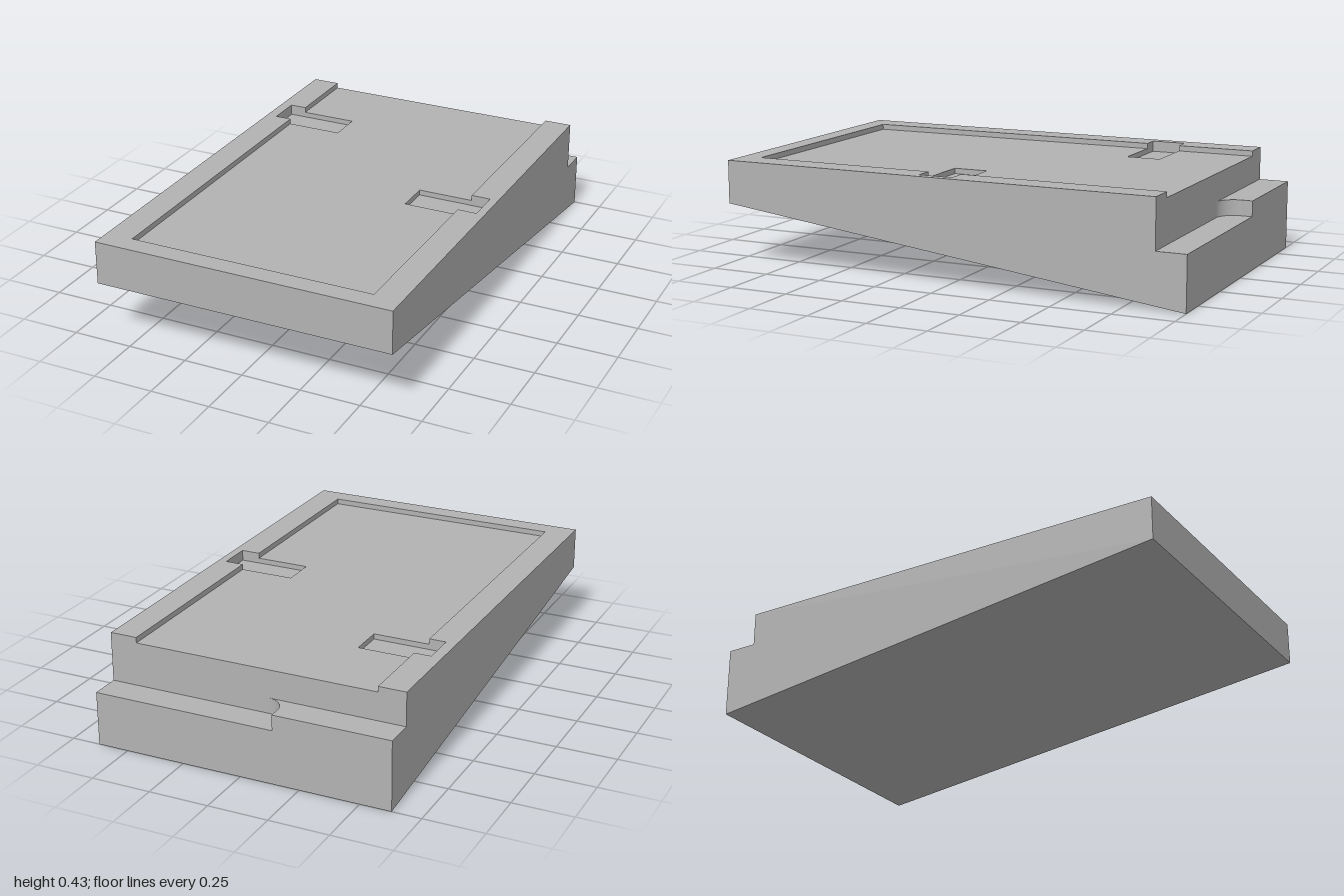
import * as THREE from 'three';
import { mergeVertices } from 'three/addons/utils/BufferGeometryUtils.js';

// Key sizes
const W = 0.63, R = 0.515;            // half widths of body and recess
const BACK = -0.875, FRONT = 0.915;   // recess ends in z; BACK is also the riser
const TOP = 0.43, FLOOR = 0.407, POCKET = 0.385;
const LOW = 0.225, HIGH = 0.29;       // two levels of the rear ledge
const FRONT_BOTTOM = 0.25;
const pockets = [
  { name: 'rightPocket', x0: -0.585, x1: -0.28, z0: -0.545, z1: -0.4 },
  { name: 'leftPocket', x0: 0.285, x1: 0.595, z0: -0.015, z1: 0.13 },
];

export function createModel() {
  const group = new THREE.Group();
  const grey = new THREE.MeshStandardMaterial({ color: 0xb2b2b2, side: THREE.DoubleSide });
  grey.name = 'plain grey';

  const add = (name, geometry) => {
    const mesh = new THREE.Mesh(geometry, grey);
    mesh.name = name;
    group.add(mesh);
  };
  const face = (pts) => new THREE.ShapeGeometry(new THREE.Shape(pts.map(([a, b]) => new THREE.Vector2(a, b))));

  // Flat face at height y from [x, z] points, facing up
  const deck = (name, pts, y) =>
    add(name, face(pts.map(([x, z]) => [x, -z])).rotateX(-Math.PI / 2).translate(0, y, 0));
  // Upright face at depth z from [x, y] points, facing back
  const rear = (name, pts, z) =>
    add(name, face(pts.map(([x, y]) => [-x, y])).rotateY(Math.PI).translate(0, 0, z));
  // Upright strip along [x, z] points
  const wall = (name, pts, y0, y1, smooth = false) => {
    const v = [];
    for (let i = 0; i < pts.length - 1; i++) {
      const [ax, az] = pts[i], [bx, bz] = pts[i + 1];
      v.push(ax, y0, az, bx, y0, bz, bx, y1, bz, ax, y0, az, bx, y1, bz, ax, y1, az);
    }
    let g = new THREE.BufferGeometry();
    g.setAttribute('position', new THREE.Float32BufferAttribute(v, 3));
    if (smooth) g = mergeVertices(g);
    g.computeVertexNormals();
    add(name, g);
  };

  // Wedge sides, stepped at the rear ledge
  for (const s of [1, -1]) {
    const ledge = s > 0 ? LOW : HIGH;
    const profile = [[1, FRONT_BOTTOM], [1, TOP], [BACK, TOP], [BACK, ledge], [-1, ledge], [-1, 0]];
    add(s > 0 ? 'leftSide' : 'rightSide',
      face(profile.map(([z, y]) => [-s * z, y])).rotateY(s * Math.PI / 2).translate(s * W, 0, 0));
  }

  // Front face and sloping underside
  wall('frontFace', [[-W, 1], [W, 1]], FRONT_BOTTOM, TOP);
  const under = new THREE.BufferGeometry();
  under.setAttribute('position', new THREE.Float32BufferAttribute(
    [-W, 0, -1, W, 0, -1, W, FRONT_BOTTOM, 1, -W, FRONT_BOTTOM, 1], 3));
  under.setIndex([0, 1, 2, 0, 2, 3]);
  under.computeVertexNormals();
  add('underside', under);

  // Rear ledge: two levels joined by a concave curved step
  const radius = 0.08, stepX = -0.14;
  const curve = [];
  for (let i = 0; i <= 16; i++) {
    const a = (i / 16) * Math.PI / 2;
    curve.push([stepX + radius - radius * Math.sin(a), BACK - radius + radius * Math.cos(a)]);
  }
  curve.push([stepX, -1]);
  wall('ledgeStep', curve, LOW, HIGH, true);
  deck('lowLedge', [...curve, [W, -1], [W, BACK]], LOW);
  deck('highLedge', [...curve, [-W, -1], [-W, BACK]], HIGH);
  rear('backFace', [[-W, 0], [W, 0], [W, LOW], [stepX, LOW], [stepX, HIGH], [-W, HIGH]], -1);
  const turn = stepX + radius;
  rear('riser', [[-W, HIGH], [turn, HIGH], [turn, LOW], [W, LOW], [W, TOP],
    [R, TOP], [R, FLOOR], [-R, FLOOR], [-R, TOP], [-W, TOP]], BACK);

  // Raised rim, widened around the pockets
  const [p, q] = pockets;
  const inner = [
    [R, BACK], [R, q.z0], [q.x1, q.z0], [q.x1, q.z1], [R, q.z1], [R, FRONT],
    [-R, FRONT], [-R, p.z1], [p.x0, p.z1], [p.x0, p.z0], [-R, p.z0], [-R, BACK],
  ];
  wall('rimWall', inner, FLOOR, TOP);
  deck('rim', [...inner, [-W, BACK], [-W, 1], [W, 1], [W, BACK]], TOP);

  // Recess floor, open at the back
  deck('recessFloor', [
    [R, BACK], [R, q.z0], [q.x0, q.z0], [q.x0, q.z1], [R, q.z1], [R, FRONT],
    [-R, FRONT], [-R, p.z1], [p.x1, p.z1], [p.x1, p.z0], [-R, p.z0], [-R, BACK],
  ], FLOOR);

  // Finger pockets
  for (const { name, x0, x1, z0, z1 } of pockets) {
    const ring = [[x0, z1], [x0, z0], [x1, z0], [x1, z1]];
    deck(name + 'Floor', ring, POCKET);
    wall(name + 'Wall', [...ring, ring[0]], POCKET, FLOOR);
  }
  return group;
}
